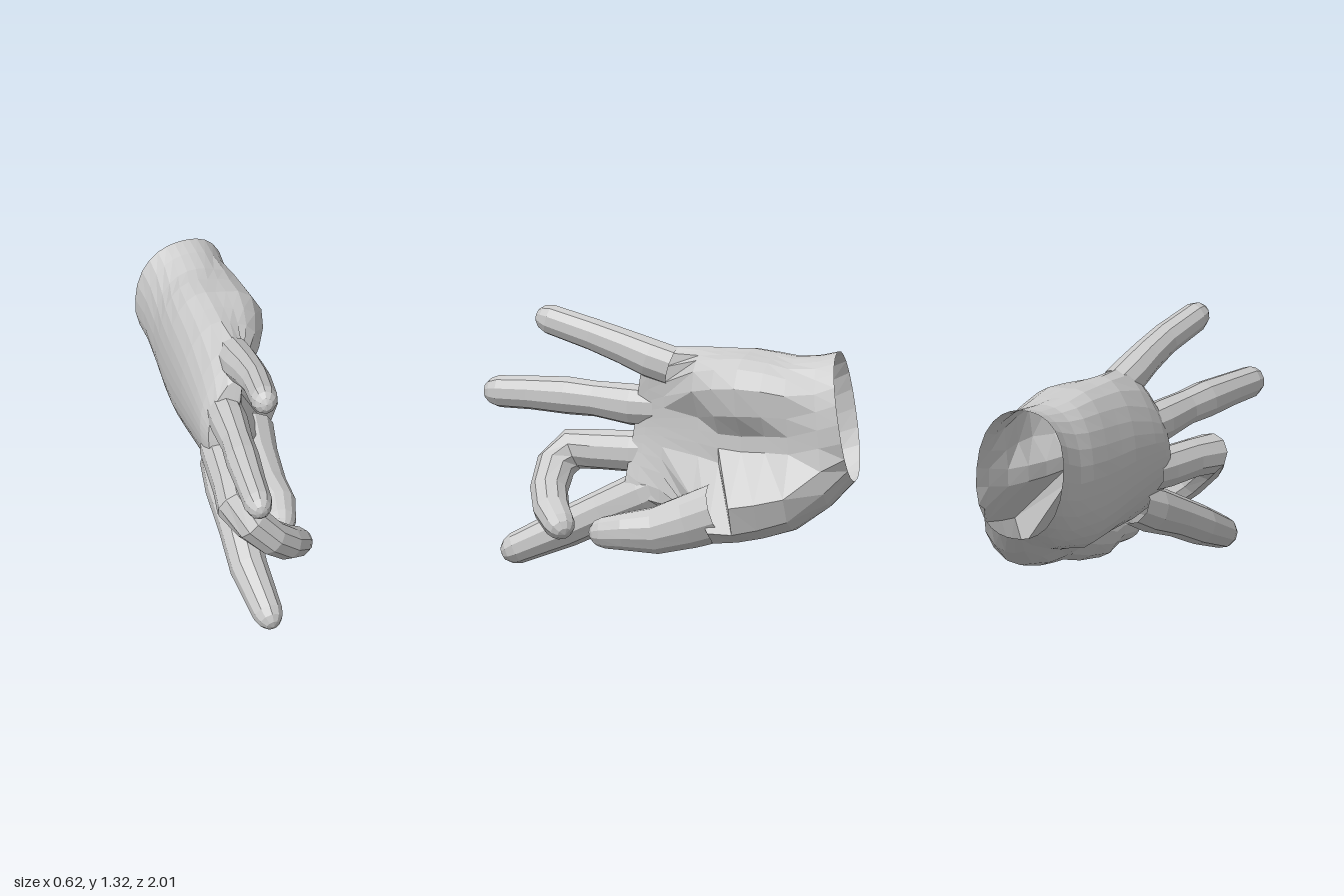
import * as THREE from 'three';

const material = new THREE.MeshStandardMaterial({ color: 0xcccccc, flatShading: true, side: THREE.DoubleSide });

// Skins a list of rings and closes the last one with a point.
function loft(name, rings, tip) {
  const n = rings[0].length;
  const points = [...rings.flat(), tip];
  const index = [];
  for (let i = 0; i < rings.length; i++) {
    for (let j = 0; j < n; j++) {
      const k = (j + 1) % n;
      const a = i * n + j, b = i * n + k;
      if (i < rings.length - 1) index.push(a, b, b + n, a, b + n, a + n);
      else index.push(a, b, points.length - 1);
    }
  }
  const geometry = new THREE.BufferGeometry().setFromPoints(points);
  geometry.setIndex(index);
  geometry.computeVertexNormals();
  const mesh = new THREE.Mesh(geometry, material);
  mesh.name = name;
  return mesh;
}

// Finger from path points [x, y, z, radius], finished with a rounded tip.
// flat scales the thickness from back to palm side.
function finger(name, path, flat = 0.9, sides = 10) {
  const centres = path.map(p => new THREE.Vector3(p[0], p[1], p[2]));
  const radii = path.map(p => p[3]);
  const end = centres.length - 1;
  const dir = centres[end].clone().sub(centres[end - 1]).normalize();
  const r = radii[end], base = centres[end].clone();
  for (const [along, size] of [[0.55, 0.8], [0.9, 0.45]]) {
    centres.push(base.clone().addScaledVector(dir, r * along));
    radii.push(r * size);
  }
  const u = new THREE.Vector3(1, 0, 0);
  const rings = centres.map((c, i) => {
    const t = centres[Math.min(i + 1, centres.length - 1)].clone()
      .sub(centres[Math.max(i - 1, 0)]).normalize();
    u.addScaledVector(t, -u.dot(t)).normalize();
    const v = t.clone().cross(u);
    return Array.from({ length: sides }, (_, j) => {
      const a = (j + 0.5) / sides * Math.PI * 2;
      return c.clone().addScaledVector(u, Math.cos(a) * radii[i] * flat)
        .addScaledVector(v, Math.sin(a) * radii[i]);
    });
  });
  return loft(name, rings, base.addScaledVector(dir, r * 1.03));
}

// Distance from the origin along direction (dx, dy) to the far side of a circle
function reach(dx, dy, x, y, r) {
  const along = dx * x + dy * y;
  const d = along * along - x * x - y * y + r * r;
  return d > 0 ? along + Math.sqrt(d) : 0;
}

// Each section joins a rounded slab with two pads: the heel and the ball of the thumb.
function palm() {
  const sections = [
    { z: -0.94, slab: [-0.075, 0.86, 0.235, 0.32], slant: 1 },
    { z: -0.84, slab: [-0.06, 0.825, 0.225, 0.335], slant: 0.7, ball: [0.02, 0.58, 0.16] },
    { z: -0.70, slab: [-0.055, 0.78, 0.215, 0.37], slant: 0.3, heel: [0.01, 0.95, 0.18], ball: [0.09, 0.49, 0.19] },
    { z: -0.58, slab: [-0.07, 0.77, 0.2, 0.39], heel: [0.025, 0.96, 0.185], ball: [0.105, 0.445, 0.19] },
    { z: -0.45, slab: [-0.075, 0.76, 0.19, 0.415], cup: 0.01, heel: [0.035, 0.97, 0.19], ball: [0.12, 0.415, 0.185] },
    { z: -0.32, slab: [-0.085, 0.76, 0.175, 0.41], cup: 0.03, heel: [0.015, 0.97, 0.18], ball: [0.11, 0.375, 0.16] },
    { z: -0.20, slab: [-0.1, 0.765, 0.155, 0.405], cup: 0.05, heel: [-0.02, 0.98, 0.16], ball: [0.03, 0.41, 0.1] },
    { z: 0.00, slab: [-0.125, 0.755, 0.115, 0.405], cup: 0.1, slant: -0.3 },
    { z: 0.10, slab: [-0.135, 0.745, 0.095, 0.375], cup: 0.11, slant: -0.8 },
    { z: 0.17, slab: [-0.135, 0.72, 0.07, 0.32], cup: 0.09, slant: -1 },
  ];
  const sides = 28;
  const rings = sections.map(({ z, slab: [cx, cy, rx, ry], cup = 0, slant = 0, heel, ball }) =>
    Array.from({ length: sides }, (_, j) => {
      const a = j / sides * Math.PI * 2;
      const d = new THREE.Vector2(0.55 * Math.cos(a), Math.sin(a)).normalize();
      let r = (Math.abs(d.x / rx) ** 2.3 + Math.abs(d.y / ry) ** 2.3) ** (-1 / 2.3);
      const bend = cup * (d.y * r / ry) ** 2;
      for (const pad of [heel, ball]) {
        if (pad) r = Math.max(r, reach(d.x, d.y, pad[0] - cx, pad[1] - cy, pad[2]));
      }
      const x = d.x * r, y = d.y * r;
      return new THREE.Vector3(cx + x + bend, cy + y, z + slant * (0.15 * y - 0.17 * x));
    }));
  return loft('palm', rings, new THREE.Vector3(-0.12, 0.72, 0.19));
}

export function createModel() {
  const hand = new THREE.Group();
  hand.name = 'hand';
  hand.add(palm());

  hand.add(finger('littleFinger', [
    [-0.025, 1.065, -0.04, 0.1], [-0.02, 1.1, 0.08, 0.1], [-0.015, 1.15, 0.22, 0.09],
    [-0.015, 1.2, 0.38, 0.082], [-0.035, 1.257, 0.61, 0.076],
  ]));

  hand.add(finger('ringFinger', [
    [-0.11, 0.84, 0.07, 0.1], [-0.11, 0.84, 0.2, 0.105], [-0.12, 0.855, 0.4, 0.09],
    [-0.13, 0.86, 0.55, 0.095], [-0.14, 0.86, 0.75, 0.085], [-0.145, 0.855, 0.918, 0.08],
  ]));

  // Bent across the palm towards the thumb
  hand.add(finger('middleFinger', [
    [-0.135, 0.61, 0.07, 0.1], [-0.135, 0.6, 0.2, 0.105], [-0.15, 0.595, 0.4, 0.1],
    [-0.165, 0.585, 0.54, 0.105], [-0.1, 0.51, 0.605, 0.1], [0, 0.405, 0.605, 0.095],
    [0.09, 0.325, 0.56, 0.092], [0.165, 0.265, 0.49, 0.08],
  ], 0.95));

  hand.add(finger('indexFinger', [
    [-0.1, 0.47, -0.02, 0.11], [-0.1, 0.4, 0.13, 0.12], [-0.1, 0.3, 0.35, 0.105],
    [-0.1, 0.2, 0.55, 0.1], [-0.065, 0.085, 0.8, 0.08],
  ], 0.95));

  // Thumb, continuing the ball of the palm
  hand.add(finger('thumb', [
    [0.11, 0.375, -0.34, 0.15], [0.105, 0.315, -0.18, 0.138], [0.125, 0.258, 0, 0.118],
    [0.155, 0.25, 0.15, 0.095], [0.14, 0.235, 0.26, 0.08],
  ], 0.95, 12));

  return hand;
}
